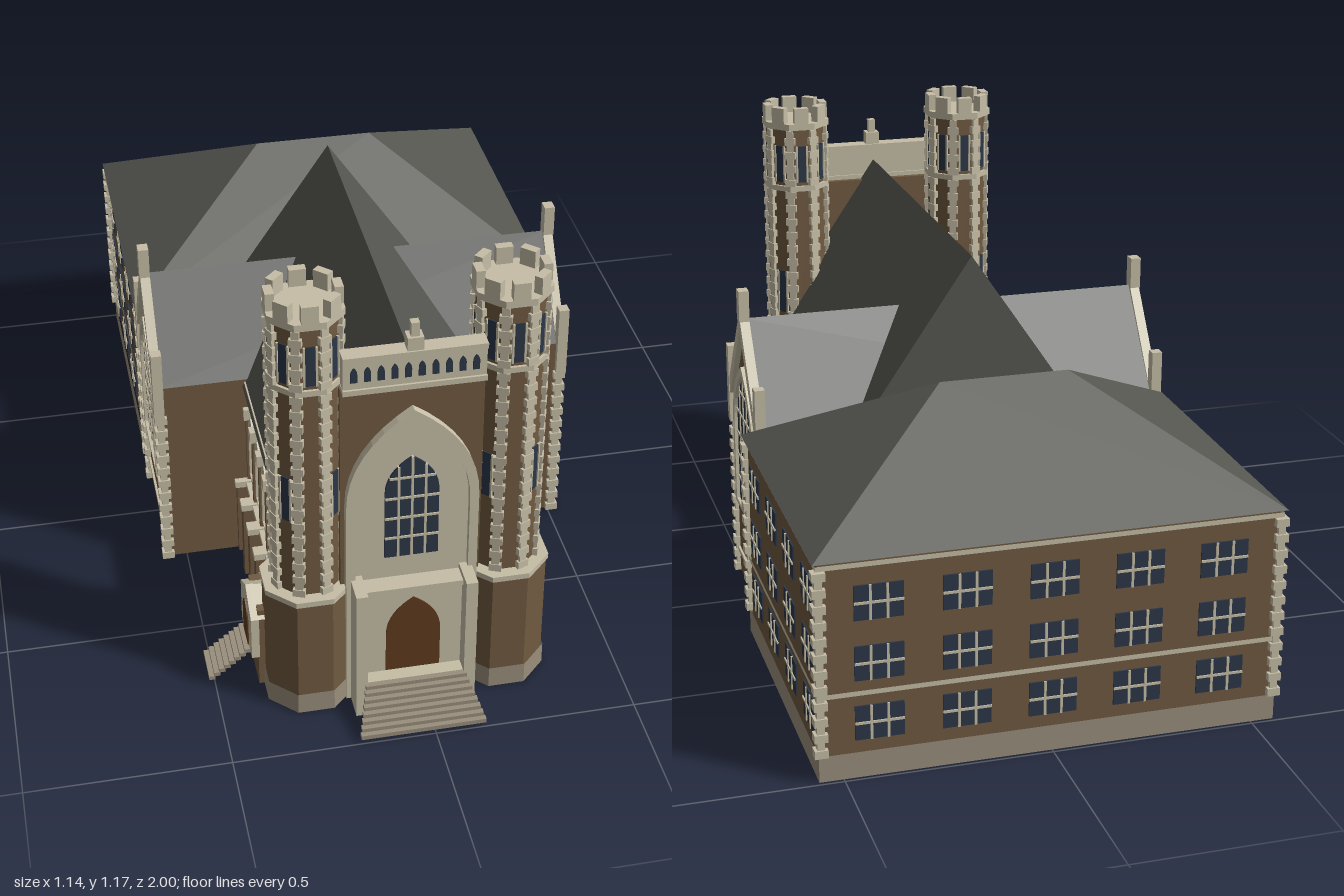
import * as THREE from 'three';
import { mergeGeometries } from 'three/addons/utils/BufferGeometryUtils.js';

const mat = (name, color) => Object.assign(new THREE.MeshStandardMaterial({ color, side: THREE.DoubleSide, flatShading: true }), { name });
const brick = mat('brick', 0x705a41), stone = mat('stone', 0xc6bea6), plinth = mat('plinth stone', 0x9a8f7c),
  roof = mat('slate roof', 0x555650), glass = mat('dark glass', 0x2c3748), door = mat('wooden door', 0x5f3a1e);
const CX = -0.03; // church axis

function add(parent, name, geo, material, x = 0, y = 0, z = 0, ry = 0) {
  const m = new THREE.Mesh(geo, material);
  m.name = name; m.position.set(x, y, z); m.rotation.y = ry;
  parent.add(m);
  return m;
}
function sub(parent, name, x = 0, y = 0, z = 0, ry = 0) {
  const g = new THREE.Group();
  g.name = name; g.position.set(x, y, z); g.rotation.y = ry;
  parent.add(g);
  return g;
}
// Box from minimum and maximum corners; open leaves out top and bottom
function block(parent, name, material, x0, x1, y0, y1, z0, z1, open = false) {
  const g = new THREE.BoxGeometry(x1 - x0, y1 - y0, z1 - z0);
  if (open) { const i = [...g.index.array]; i.splice(12, 12); g.setIndex(i); g.clearGroups(); }
  return add(parent, name, g, material, (x0 + x1) / 2, (y0 + y1) / 2, (z0 + z1) / 2);
}
function panel(parent, name, material, pts) {
  const g = new THREE.BufferGeometry();
  g.setAttribute('position', new THREE.Float32BufferAttribute(pts.flat(), 3));
  g.setIndex(pts.length === 4 ? [0, 1, 2, 0, 2, 3] : [0, 1, 2]);
  g.computeVertexNormals();
  return add(parent, name, g, material);
}
const polygon = pts => new THREE.Shape(pts.map(p => new THREE.Vector2(...p)));
const extrude = (shape, depth) => new THREE.ExtrudeGeometry(shape, { depth, bevelEnabled: false, curveSegments: 8 });

// Pointed arch outline, with half width w
function arch(w, base, spring, apex) {
  const c = spring + 0.6 * (apex - spring);
  return new THREE.Shape().moveTo(-w, base).lineTo(w, base).lineTo(w, spring)
    .quadraticCurveTo(w, c, 0, apex).quadraticCurveTo(-w, c, -w, spring).lineTo(-w, base);
}
const curveY = (t, s, a) => s + (a - s) * (1.2 * t * (1 - t) + t * t);

// Pointed window facing local +z: glass, surround and bars
function archWindow(parent, name, w, base, spring, apex, rim, bars, rows, x, z, ry, depth = 0.02, bar = 0.006) {
  const g = sub(parent, name, x, 0, z, ry);
  add(g, 'pane', extrude(arch(w, base, spring, apex), 0.008), glass, 0, 0, -0.002);
  if (rim) {
    const frame = arch(w + rim, base - rim * 0.6, spring, apex + rim * 1.4);
    frame.holes.push(arch(w, base, spring, apex));
    add(g, 'surround', extrude(frame, depth), stone);
  }
  for (let i = 1; i <= bars; i++) {
    const bx = -w + 2 * w * i / (bars + 1), top = curveY(Math.sqrt(1 - Math.abs(bx) / w), spring, apex);
    block(g, 'upright bar', stone, bx - bar / 2, bx + bar / 2, base, top, -0.003, 0.009);
  }
  for (let i = 1; i <= rows; i++) {
    const y = base + (apex - base) * i / (rows + 1);
    let t = 0;
    while (y > spring && t < 1 && curveY(t, spring, apex) < y) t += 0.01;
    const h = w * (1 - t * t);
    block(g, 'cross bar', stone, -h, h, y - bar / 2, y + bar / 2, -0.003, 0.009);
  }
}

// Alternating corner stones at the given points [x, z, angle]
function quoins(parent, corners, y0, y1, wide, narrow, depth, h = 0.02) {
  const geos = [];
  for (const [x, z, a] of corners)
    for (let i = 0; y0 + (i + 1) * h <= y1 + 1e-6; i++) {
      const w = i % 2 ? narrow : wide;
      const b = new THREE.BoxGeometry(w, h, i % 2 ? depth * 0.7 : depth);
      geos.push(b.rotateY(a).translate(x, y0 + (i + 0.5) * h, z));
    }
  add(parent, 'cornerStones', mergeGeometries(geos), stone);
}

function tower(parent, x) {
  const t = sub(parent, 'tower', x, 0, 0.755);
  const oct = (name, a, y0, y1, m, open = true) => add(t, name,
    new THREE.CylinderGeometry(a / Math.cos(Math.PI / 8), a / Math.cos(Math.PI / 8), y1 - y0, 8, 1, open).rotateY(Math.PI / 8), m, 0, (y0 + y1) / 2);
  oct('towerPlinth', 0.109, 0, 0.058, plinth);
  oct('towerBase', 0.105, 0.05, 0.335, brick);
  oct('baseCap', 0.11, 0.335, 0.35, stone, false);
  oct('shaft', 0.08, 0.35, 1.11, brick);
  oct('stringCourse', 0.087, 0.93, 0.945, stone, false);
  oct('crownRing', 0.089, 1.108, 1.126, stone, false);
  const corners = [];
  for (let i = 0; i < 8; i++) {
    const a = i * Math.PI / 4, c = a + Math.PI / 8;
    corners.push([0.086 * Math.sin(c), 0.086 * Math.cos(c), c]);
    const f = sub(t, 'towerFace', 0, 0, 0, a);
    block(f, 'merlon', stone, -0.02, 0.02, 1.126, 1.17, 0.068, 0.089);
    const slits = i % 2 ? [[0.955, 1.06], [0.565, 0.69]] : [[0.955, 1.06]];
    for (const [y0, y1] of slits) {
      block(f, 'slitWindow', glass, -0.012, 0.012, y0, y1, 0.077, 0.083);
      for (const s of [-1, 1]) block(f, 'slitJamb', stone, s * 0.0145 - 0.0025, s * 0.0145 + 0.0025, y0, y1, 0.077, 0.086);
    }
  }
  quoins(t, corners, 0.35, 0.93, 0.03, 0.019, 0.014);
  quoins(t, corners, 0.945, 1.105, 0.03, 0.019, 0.014);
}

function frontFacade(p) {
  const f = sub(p, 'frontFacade', CX);
  block(f, 'frontWall', brick, -0.17, 0.17, 0, 0.92, 0.785, 0.815);
  const frame = arch(0.16, 0, 0.59, 0.855);
  frame.holes.push(arch(0.138, 0.02, 0.58, 0.825));
  add(f, 'greatArch', extrude(frame, 0.025), stone, 0, 0, 0.812);
  add(f, 'archPanel', extrude(arch(0.14, 0, 0.58, 0.827), 0.01), stone, 0, 0, 0.812);
  archWindow(f, 'frontWindow', 0.065, 0.425, 0.615, 0.717, 0, 3, 4, 0, 0.822, 0);
  // Parapet with a row of small arches
  block(f, 'parapet', stone, -0.167, 0.167, 0.92, 1.018, 0.805, 0.836);
  block(f, 'parapetLedge', stone, -0.168, 0.168, 0.918, 0.932, 0.8, 0.842);
  block(f, 'parapetCap', stone, -0.168, 0.168, 1.006, 1.02, 0.8, 0.842);
  for (let i = 0; i < 10; i++) add(f, 'parapetArch', extrude(arch(0.008, 0.95, 0.972, 0.99), 0.004), glass, (i - 4.5) * 0.0315, 0, 0.834);
  block(f, 'finialBase', stone, -0.019, 0.019, 1.02, 1.054, 0.805, 0.838);
  block(f, 'finial', stone, -0.01, 0.01, 1.05, 1.09, 0.812, 0.832);
  // Portal and steps
  block(f, 'portal', stone, -0.14, 0.14, 0, 0.358, 0.81, 0.86);
  block(f, 'portalCornice', stone, -0.125, 0.125, 0.345, 0.36, 0.82, 0.87);
  for (const s of [-1, 1]) block(f, 'portalPier', stone, s * 0.134 - 0.0145, s * 0.134 + 0.0145, 0, 0.375, 0.82, 0.903);
  add(f, 'door', extrude(arch(0.067, 0.1, 0.215, 0.322), 0.006), door, 0, 0, 0.857);
  block(f, 'landing', stone, -0.12, 0.12, 0, 0.097, 0.83, 0.9);
  for (let i = 0; i < 8; i++) {
    const w = 0.155 - i * 0.0042, z = 1 - i * 0.0128;
    block(f, 'step', plinth, -w, w, 0.012 + i * 0.0105, 0.024 + i * 0.0105, z - 0.015, z);
  }
}

function nave(p) {
  const n = sub(p, 'nave', CX);
  block(n, 'naveWalls', brick, -0.28, 0.28, 0, 0.535, -0.2, 0.78, true);
  for (const s of [-1, 1]) {
    panel(n, 'naveRoof', roof, [[s * 0.305, 0.525, -0.21], [s * 0.305, 0.525, 0.8], [0, 0.975, 0.8], [0, 0.975, -0.21]]);
    const lo = Math.min(s * 0.27, s * 0.3), side = (name, m, x, y0, y1, z0, z1, open) =>
      block(n, name, m, Math.min(s * 0.27, s * x), Math.max(s * 0.27, s * x), y0, y1, z0, z1, open);
    side('aisleWall', brick, 0.295, 0, 0.215, 0.2, 0.66, true);
    side('aislePlinth', plinth, 0.301, 0, 0.058, 0.2, 0.65, true);
    side('plinthBand', stone, 0.304, 0.058, 0.068, 0.2, 0.65);
    side('sillBand', stone, 0.305, 0.212, 0.226, 0.2, 0.65);
    side('eaveBand', stone, 0.3, 0.522, 0.538, 0.2, 0.65);
    for (let i = 0; i < 4; i++) {
      const z = 0.556 - i * 0.1015;
      archWindow(n, 'naveWindow', 0.033, 0.255, 0.385, 0.44, 0.011, 2, 2, s * 0.28, z, s * Math.PI / 2, 0.015, 0.004);
      block(n, 'aisleWindow', glass, s * 0.296 - 0.003, s * 0.296 + 0.003, 0.1, 0.16, z - 0.011, z + 0.011);
    }
    for (let i = 0; i < 5; i++) {
      const z = 0.607 - i * 0.1015;
      side('buttress', brick, 0.33, 0, 0.215, z - 0.015, z + 0.015);
      side('buttressCap', stone, 0.334, 0.212, 0.23, z - 0.017, z + 0.017);
      side('pilaster', brick, 0.3, 0.226, 0.43, z - 0.008, z + 0.008);
      side('pilasterCap', stone, 0.306, 0.425, 0.458, z - 0.014, z + 0.014);
    }
  }
  panel(n, 'rearGable', roof, [[0.305, 0.525, -0.205], [-0.305, 0.525, -0.205], [0, 0.975, -0.205]]);
}

function transept(p) {
  const t = sub(p, 'transept', -0.02, 0, 0.02);
  const H = 0.53, W = 0.18;
  block(t, 'transeptWalls', brick, -H, H, 0, 0.545, -W, W, true);
  for (const s of [-1, 1]) {
    panel(t, 'transeptRoof', roof, [[-H, 0.545, s * W], [H, 0.545, s * W], [H, 0.785, 0], [-H, 0.785, 0]]);
    const g = sub(t, 'gableEnd', s * H, 0, 0, s * Math.PI / 2);
    add(g, 'gable', new THREE.ShapeGeometry(polygon([[-W, 0.54], [W, 0.54], [0, 0.785]])), brick, 0, 0, 0.001);
    add(g, 'coping', extrude(polygon([[-W, 0.525], [-0.16, 0.525], [0, 0.755], [0.16, 0.525], [W, 0.525], [W, 0.55], [0, 0.8], [-W, 0.55]]), 0.025), stone, 0, 0, -0.01);
    block(g, 'finial', stone, -0.016, 0.016, 0.78, 0.862, -0.01, 0.017);
    archWindow(g, 'transeptWindow', 0.113, 0.24, 0.46, 0.628, 0.018, 4, 5, 0, 0, 0, 0.015);
    block(g, 'plinthBand', stone, -W, W, 0.06, 0.071, -0.005, 0.006);
    for (const c of [-1, 1]) block(g, 'pinnacle', stone, c * W - 0.014, c * W + 0.014, 0.46, 0.655, -0.01, 0.017);
  }
  quoins(t, [[H, W], [H, -W], [-H, W], [-H, -W]].map(c => [...c, 0]), 0, 0.46, 0.032, 0.018, 0.026);
}

function rearBlock(p) {
  const r = sub(p, 'rearBlock', 0, 0, -0.588);
  const X = 0.553, Z = 0.397;
  block(r, 'rearWalls', brick, -X, X, 0.05, 0.545, -Z, Z, true);
  block(r, 'rearPlinth', plinth, -X - 0.005, X + 0.005, 0, 0.065, -Z - 0.005, Z + 0.005, true);
  for (const y of [0.215, 0.533]) block(r, 'wallBand', stone, -X - 0.006, X + 0.006, y - 0.006, y + 0.006, -Z - 0.006, Z + 0.006, true);
  quoins(r, [[X, Z], [X, -Z], [-X, Z], [-X, -Z]].map(c => [...c, 0]), 0.065, 0.53, 0.032, 0.018, 0.028);
  // Hipped roof
  const a = 0.567, b = 0.408, e = 0.545, k = [0.16, 0.79, 0], l = [-0.16, 0.79, 0];
  for (const s of [-1, 1]) {
    panel(r, 'hipRoof', roof, [[-a, e, s * b], [a, e, s * b], k, l]);
    panel(r, 'hipRoofEnd', roof, [[s * a, e, -b], [s * a, e, b], s > 0 ? k : l]);
  }
  // Three storeys of windows on the back and both sides
  const walls = [[0, -Z, Math.PI, 5, 0.207], [X, 0, Math.PI / 2, 4, 0.198], [-X, 0, -Math.PI / 2, 4, 0.198]];
  for (const [x, z, ry, count, gap] of walls) {
    const w = sub(r, 'windowWall', x, 0, z, ry);
    for (const y of [0.138, 0.288, 0.438]) for (let i = 0; i < count; i++) {
      const g = sub(w, 'window', (i - (count - 1) / 2) * gap, y, 0);
      block(g, 'pane', glass, -0.058, 0.058, -0.043, 0.043, -0.003, 0.004);
      for (const bx of [-0.02, 0.02]) block(g, 'upright bar', stone, bx - 0.003, bx + 0.003, -0.043, 0.043, 0.002, 0.007);
      block(g, 'cross bar', stone, -0.058, 0.058, -0.003, 0.003, 0.002, 0.007);
    }
  }
}

function sidePorch(p) {
  const g = sub(p, 'sidePorch', 0, 0, 0.67);
  block(g, 'porchBody', brick, -0.392, -0.3, 0, 0.235, -0.07, 0.07);
  add(g, 'porchFront', extrude(polygon([[-0.08, 0.095], [0.08, 0.095], [0.08, 0.215], [0, 0.265], [-0.08, 0.215]]), 0.02), stone, -0.39, 0, 0, -Math.PI / 2);
  for (const s of [-1, 1]) panel(g, 'porchRoof', stone, [[-0.4, 0.215, s * 0.08], [-0.3, 0.215, s * 0.08], [-0.3, 0.262, 0], [-0.4, 0.262, 0]]);
  add(g, 'sideDoor', extrude(arch(0.035, 0.1, 0.17, 0.22), 0.005), door, -0.408, 0, 0, -Math.PI / 2);
  for (let i = 0; i < 8; i++) block(g, 'step', plinth, -0.515 + i * 0.013, -0.499 + i * 0.013, 0.014 + i * 0.0105, 0.025 + i * 0.0105, -0.05, 0.05);
}

export function createModel() {
  const model = new THREE.Group();
  model.name = 'church';
  for (const s of [-1, 1]) tower(model, CX + s * 0.24);
  for (const build of [frontFacade, nave, transept, rearBlock, sidePorch]) build(model);
  return model;
}
